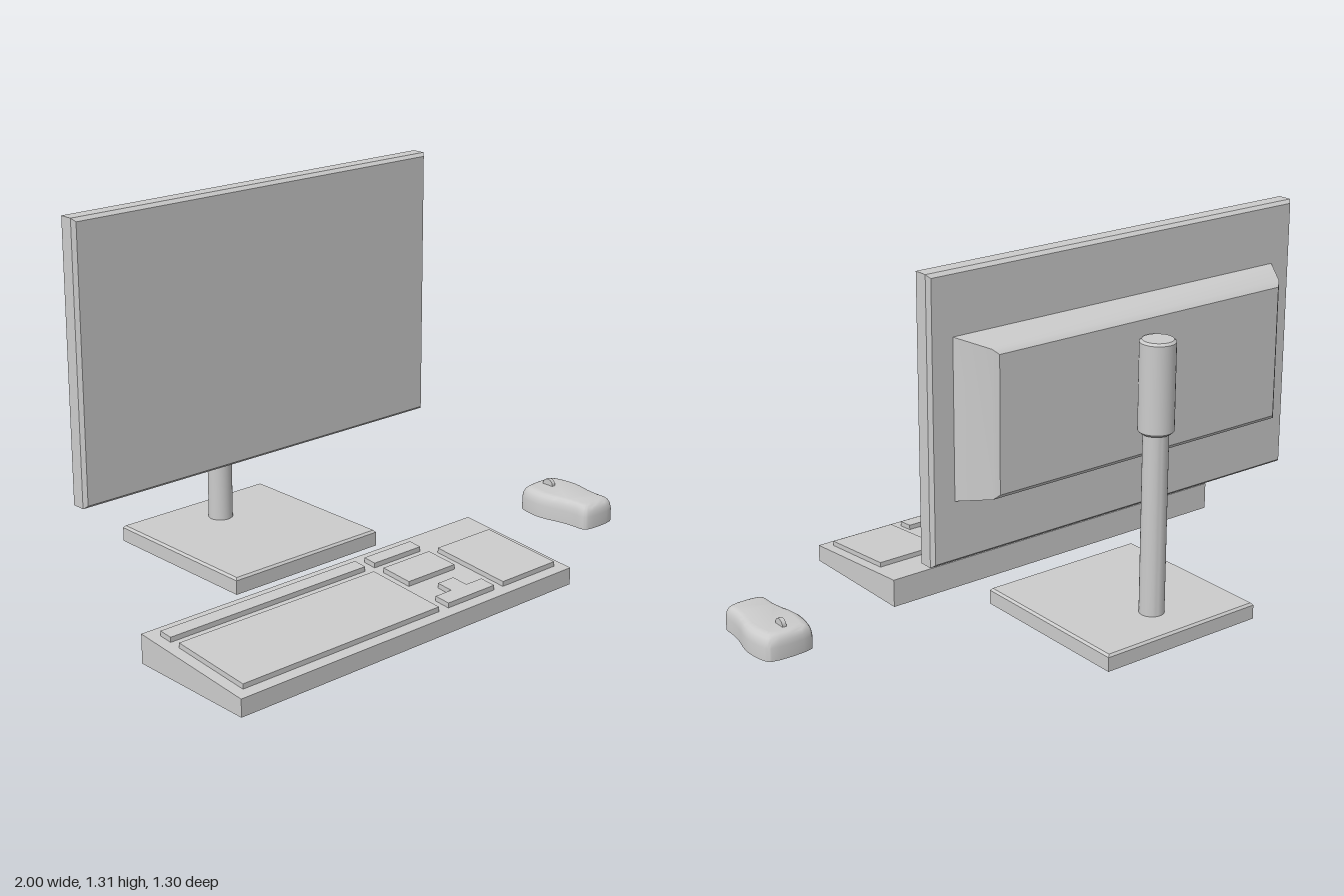
import * as THREE from 'three';
import { toCreasedNormals } from 'three/addons/utils/BufferGeometryUtils.js';

const material = new THREE.MeshStandardMaterial({ color: 0xcccccc, side: THREE.DoubleSide });

// Counter-clockwise rectangle in the outline plane
const rect = (x0, x1, y0, y1) => [[x0, y0], [x1, y0], [x1, y1], [x0, y1]];
const box = (halfW, halfH) => rect(-halfW, halfW, -halfH, halfH);
const scaled = (outline, cx, cy, s, t) => outline.map(([x, y]) => [cx + (x - cx) * s, cy + (y - cy) * t]);

// Skin over stacked outlines [points, height]; height may be a rule (x, y).
// The last outline is capped (with holes), the first one only if closed.
function shell(layers, { holes = [], closed = false } = {}) {
  const position = [];
  const at = ([x, y], h) => [x, y, typeof h === 'function' ? h(x, y) : h];
  const tri = (a, b, c) => position.push(...a, ...b, ...c);
  for (let k = 0; k + 1 < layers.length; k++) {
    const [lo, h0] = layers[k], [hi, h1] = layers[k + 1];
    lo.forEach((p, i) => {
      const j = (i + 1) % lo.length;
      const a = at(p, h0), b = at(lo[j], h0), c = at(hi[j], h1), d = at(hi[i], h1);
      tri(a, b, c);
      tri(a, c, d);
    });
  }
  const cap = ([outline, h], cuts, down) => {
    const vecs = (pts) => pts.map(([x, y]) => new THREE.Vector2(x, y));
    const all = [outline, ...cuts].flat().map((p) => at(p, h));
    for (const [a, b, c] of THREE.ShapeUtils.triangulateShape(vecs(outline), cuts.map(vecs))) {
      if (down) tri(all[a], all[c], all[b]);
      else tri(all[a], all[b], all[c]);
    }
  };
  cap(layers[layers.length - 1], holes, false);
  if (closed) cap(layers[0], [], true);
  const geometry = new THREE.BufferGeometry();
  geometry.setAttribute('position', new THREE.Float32BufferAttribute(position, 3));
  return geometry;
}

function part(name, geometry, parent, crease = 0.6) {
  const mesh = new THREE.Mesh(toCreasedNormals(geometry, crease), material);
  mesh.name = name;
  parent.add(mesh);
  return mesh;
}

const upright = (geometry) => geometry.rotateX(-Math.PI / 2); // outline y becomes -z

function group(name, parent) {
  const g = new THREE.Group();
  g.name = name;
  parent.add(g);
  return g;
}

function buildMonitor(parent) {
  const monitor = group('monitor', parent);
  const cx = -0.157, cy = 0.838;

  // Bevelled screen slab
  const w = 0.752, h = 0.476, c = 0.011;
  part('screen', shell([
    [box(w - c, h - c), -0.31], [box(w, h), -0.297],
    [box(w, h), -0.248], [box(w - c, h - c), -0.235],
  ], { closed: true }).translate(cx, cy, 0), monitor);

  // Tapered housing, stacked backwards
  part('backHousing', shell([
    [box(0.664, 0.268), 0.31], [box(0.597, 0.244), 0.418], [box(0.58, 0.228), 0.433],
  ]).rotateY(Math.PI).translate(cx, cy, 0), monitor);

  // Pole and wider collar in one turned profile
  const profile = [[0.043, 0.065], [0.043, 0.702], [0.052, 0.702], [0.06, 0.71],
    [0.06, 1.008], [0.052, 1.016], [0, 1.016]].map(([x, y]) => new THREE.Vector2(x, y));
  part('pole', new THREE.LatheGeometry(profile, 32).translate(-0.157, 0, -0.491), monitor);

  // Hollow foot plate, open below, with the pole opening
  const poleHole = [];
  for (let i = 0; i < 32; i++) {
    const a = (i / 32) * Math.PI * 2;
    poleHole.push([-0.157 + 0.043 * Math.cos(a), 0.491 + 0.043 * Math.sin(a)]);
  }
  const foot = (d) => rect(-0.47 + d, 0.16 - d, 0.02 + d, 0.65 - d);
  part('foot', upright(shell([
    [foot(0), 0.008], [foot(0), 0.058], [foot(0.007), 0.066],
  ], { holes: [poleHole] })), monitor);
}

function buildKeyboard(parent) {
  const keyboard = group('keyboard', parent);
  const deck = (x, y) => 0.06 + (0.65 + y) * 0.083; // sloping top
  const raised = (x, y) => deck(x, y) + 0.017;
  const blocks = {
    mainKeys: rect(-0.96, -0.155, -0.61, -0.307),
    functionKeys: rect(-0.96, -0.155, -0.265, -0.215),
    systemKeys: rect(-0.112, 0.098, -0.265, -0.215),
    navigationKeys: rect(-0.112, 0.098, -0.428, -0.307),
    numberPad: rect(0.14, 0.388, -0.61, -0.307),
    arrowKeys: [[-0.112, -0.61], [0.098, -0.61], [0.098, -0.552], [0.028, -0.552],
      [0.028, -0.492], [-0.042, -0.492], [-0.042, -0.552], [-0.112, -0.552]],
  };
  const outline = rect(-1, 0.425, -0.65, -0.17);
  part('keyboardCase', upright(shell([[outline, 0], [outline, deck]],
    { holes: Object.values(blocks) })), keyboard);
  for (const [name, block] of Object.entries(blocks)) {
    part(name, upright(shell([[block, deck], [block, raised]])), keyboard);
  }
}

function buildMouse(parent) {
  const mouse = group('mouse', parent);
  const cx = 0.893;

  // Waisted outline mirrored about its centre line: [half width, z]
  const half = [[0.058, 0.375], [0.074, 0.362], [0.077, 0.31], [0.084, 0.26],
    [0.099, 0.2], [0.102, 0.155], [0.089, 0.085], [0.074, 0.068]];
  const points = [...half.map(([x, z]) => [cx + x, -z]),
    ...half.map(([x, z]) => [cx - x, -z]).reverse()];
  const curve = new THREE.CatmullRomCurve3(
    points.map(([x, y]) => new THREE.Vector3(x, y, 0)), true, 'centripetal');
  const outline = curve.getPoints(64).slice(0, -1).map((p) => [p.x, p.y]);
  const ring = (inset) => scaled(outline, cx, -0.22, 1 - inset / 0.09, 1 - inset / 0.155);
  part('mouseBody', upright(shell([
    [ring(0), 0.003], [ring(0), 0.05], [ring(0.003), 0.068],
    [ring(0.009), 0.081], [ring(0.017), 0.088], [ring(0.03), 0.091],
  ])), mouse, 0.9);

  // Scroll wheel
  part('scrollWheel', new THREE.CylinderGeometry(0.023, 0.023, 0.015, 24)
    .rotateZ(Math.PI / 2).translate(cx, 0.091, 0.129), mouse);
}

export function createModel() {
  const model = new THREE.Group();
  model.name = 'desktopSet';
  buildMonitor(model);
  buildKeyboard(model);
  buildMouse(model);
  return model;
}
